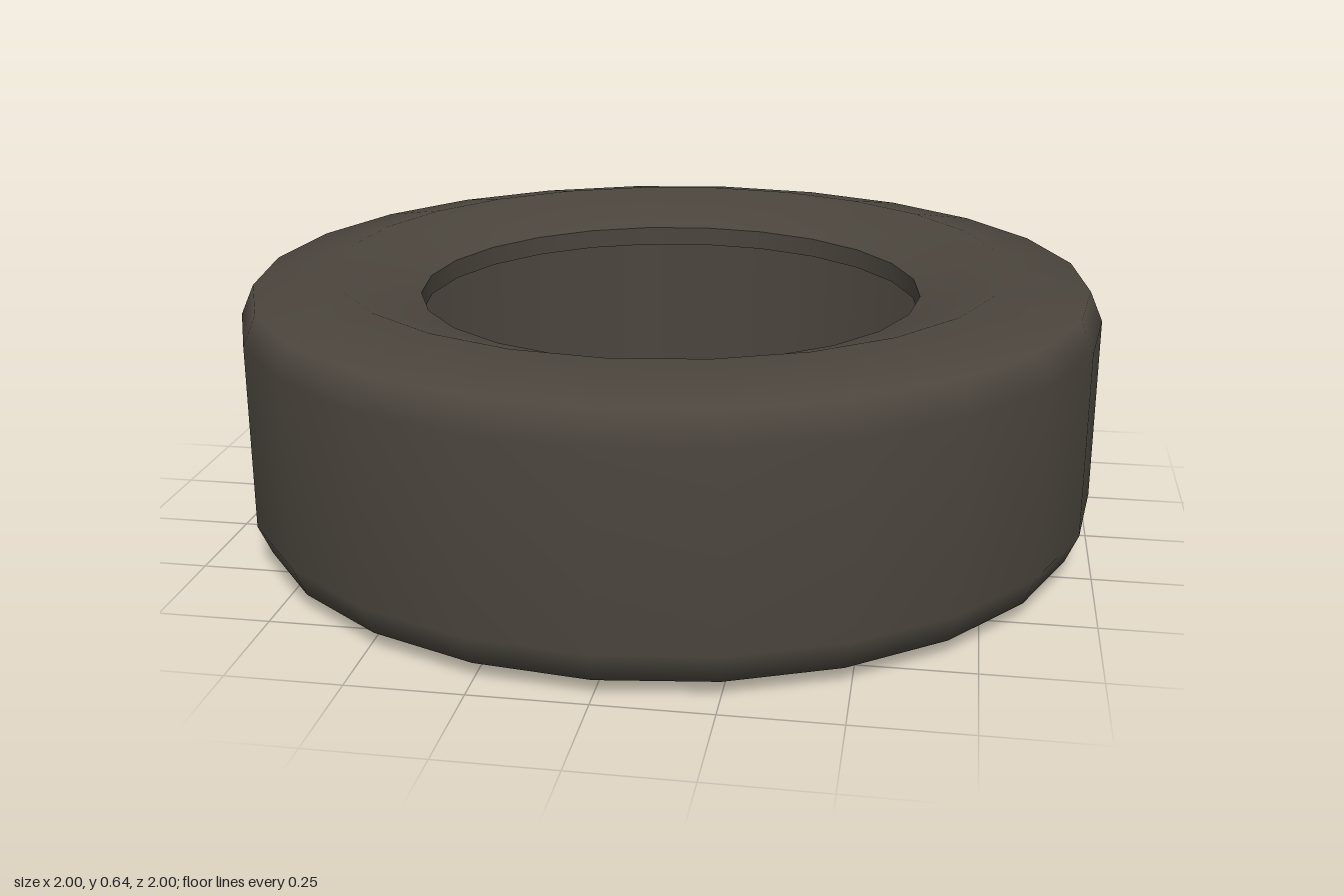
import * as THREE from 'three';

export function createModel() {
  const group = new THREE.Group();
  group.name = 'tire';
  const rubber = new THREE.MeshStandardMaterial({ color: 0x4b453d });
  rubber.name = 'dark rubber';

  const H = 0.64;
  // Ring swept from a profile of [radius, height] points
  const ring = (name, points) => {
    const profile = points.map(([r, y]) => new THREE.Vector2(r, y));
    const mesh = new THREE.Mesh(new THREE.LatheGeometry(profile, 24), rubber);
    mesh.name = name;
    group.add(mesh);
  };
  // Upper half is the lower half mirrored, in reverse order
  const flip = (points) => points.map(([r, y]) => [r, H - y]).reverse();

  // Sidewalls and tread as one smooth skin
  const lower = [[0.585, 0.067], [0.78, 0], [0.97, 0.038], [1, 0.107]];
  ring('treadAndSidewalls', [...lower, ...flip(lower)]);

  // Rim lips around the hole
  const lip = [[0.585, 0.113], [0.585, 0.067]];
  ring('lowerLip', lip);
  ring('upperLip', flip(lip));

  // Hollow inside, with a sharp corner between wall and sides
  const side = [[0.92, 0.075], [0.585, 0.113]];
  ring('lowerInnerSide', side);
  ring('upperInnerSide', flip(side));
  ring('innerWall', [[0.92, H - 0.075], [0.92, 0.075]]);

  return group;
}
